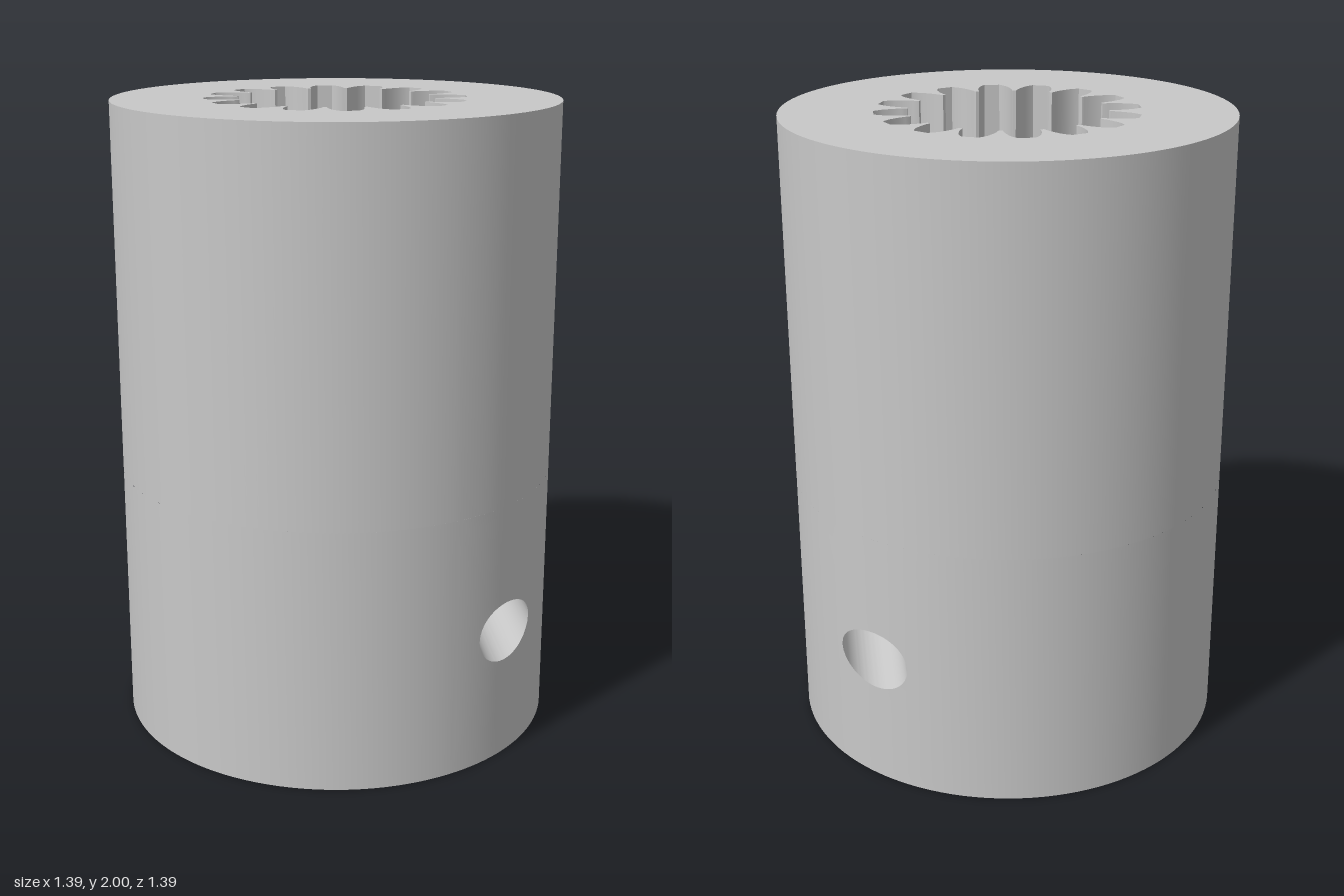
import * as THREE from 'three';
import { mergeGeometries, toCreasedNormals } from 'three/addons/utils/BufferGeometryUtils.js';

const R = 0.695, BORE = 0.24, HEIGHT = 2;
const SLOT_TOP = 0.83, SLOT_HALF = 0.035, SPLINE_FLOOR = 1.0;
const HOLE_X = 0.48, HOLE_Y = SLOT_TOP / 2, HOLE_R = 0.095;
const RAD = Math.PI / 180;

const polar = (r, t, y) => new THREE.Vector3(r * Math.cos(t), y, r * Math.sin(t));

// Surface through rows of points
function sheet(rows) {
  const pos = [];
  const put = (...pts) => pts.forEach((p) => pos.push(p.x, p.y, p.z));
  for (let i = 0; i < rows.length - 1; i++) {
    for (let j = 0; j < rows[i].length - 1; j++) {
      const a = rows[i][j], b = rows[i][j + 1], c = rows[i + 1][j], d = rows[i + 1][j + 1];
      put(a, b, c);
      put(b, d, c);
    }
  }
  const g = new THREE.BufferGeometry();
  g.setAttribute('position', new THREE.Float32BufferAttribute(pos, 3));
  return g;
}

// Arc of points; upright walls over an arc face inward when the angle grows
function arc(r, t0, t1, y = 0) {
  const n = Math.max(2, Math.round(Math.abs(t1 - t0) / (3 * RAD)));
  return Array.from({ length: n + 1 }, (_, i) => polar(r, t0 + ((t1 - t0) * i) / n, y));
}
const wall = (r, t0, t1, y0, y1) => sheet([arc(r, t0, t1, y0), arc(r, t0, t1, y1)]);
const smooth = (parts) => toCreasedNormals(mergeGeometries(parts), 0.6);

// Flat shape in x,z made from points
const flat = (pts) => new THREE.Shape(pts.map((p) => new THREE.Vector2(p.x, p.z)));

// Copy for the other side of the slot
const flipped = (g) => g.clone().rotateX(Math.PI).translate(0, SLOT_TOP, 0);

// Outline of the sixteen-groove spline
function splineOutline() {
  const flank = [[0.306, 0.18], [0.312, 0.172], [0.325, 0.168], [0.35, 0.147],
    [0.38, 0.115], [0.4, 0.08], [0.408, 0.06]];
  const groove = [...flank.map(([r, t]) => [r, -t]), ...flank.slice().reverse()];
  const pts = [];
  for (let k = 0; k < 16; k++) {
    for (const [r, t] of groove) pts.push(polar(r, t + (k * Math.PI) / 8, 0));
  }
  return pts;
}

export function createModel() {
  const group = new THREE.Group();
  const steel = new THREE.MeshStandardMaterial({ color: 0xc8c8c8 });
  steel.name = 'grey steel';
  const add = (name, geometry) => {
    const mesh = new THREE.Mesh(geometry, steel);
    mesh.name = name;
    group.add(mesh);
  };

  const outerSlot = Math.asin(SLOT_HALF / R), boreSlot = Math.asin(SLOT_HALF / BORE);
  const full = 2 * Math.PI, tA = 28 * RAD, tB = 65 * RAD;

  // Patch of outer wall around the cross hole: rectangle blended into the circle
  const tC = Math.acos(HOLE_X / R);
  const corners = [[tA, 0], [tA, SLOT_TOP], [tB, SLOT_TOP], [tB, 0]];
  const rim = [];
  corners.forEach(([t0, y0], k) => {
    const [t1, y1] = corners[(k + 1) % 4];
    for (let i = 0; i < 16; i++) rim.push([t0 + ((t1 - t0) * i) / 16, y0 + ((y1 - y0) * i) / 16]);
  });
  rim.push(rim[0]);
  const holeRim = rim.map(([t, y]) => {
    const a = Math.atan2(y - HOLE_Y, (tC - t) * R);
    return [Math.acos((HOLE_X + HOLE_R * Math.cos(a)) / R), HOLE_Y + HOLE_R * Math.sin(a)];
  });
  const rows = [];
  for (let i = 0; i <= 8; i++) {
    const f = i / 8;
    rows.push(rim.map(([t, y], j) =>
      polar(R, t + (holeRim[j][0] - t) * f, y + (holeRim[j][1] - y) * f)));
  }
  const patch = sheet(rows);

  // Outer cylinder, open at the slot and the two hole mouths
  add('outerWall', smooth([
    wall(R, full, 0, SLOT_TOP, HEIGHT),
    wall(R, tA, outerSlot, 0, SLOT_TOP),
    wall(R, full - tB, tB, 0, SLOT_TOP),
    wall(R, full - outerSlot, full - tA, 0, SLOT_TOP),
    patch, flipped(patch),
  ]));

  // Cross hole on both sides of the slot
  const mouth = rows[8];
  const tube = sheet([mouth, mouth.map((p) => new THREE.Vector3(p.x, p.y, SLOT_HALF))]);
  add('crossHole', smooth([tube, flipped(tube)]));

  // Slot cheeks, pierced by the cross hole
  const x0 = BORE * Math.cos(boreSlot), x1 = R * Math.cos(outerSlot);
  const cheek = new THREE.Shape([[x0, 0], [x1, 0], [x1, SLOT_TOP], [x0, SLOT_TOP]]
    .map(([x, y]) => new THREE.Vector2(x, y)));
  cheek.holes.push(new THREE.Path().absarc(HOLE_X, HOLE_Y, HOLE_R, 0, full, true));
  const cheekGeometry = new THREE.ShapeGeometry(cheek, 48).translate(0, 0, -SLOT_HALF);
  add('slotCheekBack', cheekGeometry);
  add('slotCheekFront', flipped(cheekGeometry));

  // Blind bore, with one ceiling shared by bore and slot
  add('boreWall', smooth([wall(BORE, boreSlot, full - boreSlot, 0, SLOT_TOP)]));
  const ceiling = flat([...arc(BORE, boreSlot, full - boreSlot), ...arc(R, -outerSlot, outerSlot)]);
  add('boreCeiling', new THREE.ShapeGeometry(ceiling).rotateX(Math.PI / 2).translate(0, SLOT_TOP, 0));

  // Bottom face, a ring split by the slot
  const bottom = flat([...arc(R, outerSlot, full - outerSlot), ...arc(BORE, full - boreSlot, boreSlot)]);
  add('bottomFace', new THREE.ShapeGeometry(bottom).rotateX(Math.PI / 2));

  // Top face with the spline opening, its grooved wall and floor
  const outline = splineOutline();
  const top = flat(arc(R, 0, full).slice(0, -1));
  top.holes.push(flat(outline));
  add('topFace', new THREE.ShapeGeometry(top).rotateX(-Math.PI / 2).translate(0, HEIGHT, 0));
  const loop = [...outline, outline[0]];
  const atHeight = (y) => loop.map((p) => new THREE.Vector3(p.x, y, p.z));
  add('splineWall', smooth([sheet([atHeight(SPLINE_FLOOR), atHeight(HEIGHT)])]));
  add('splineFloor', new THREE.ShapeGeometry(flat(outline)).rotateX(-Math.PI / 2)
    .translate(0, SPLINE_FLOOR, 0));

  return group;
}
